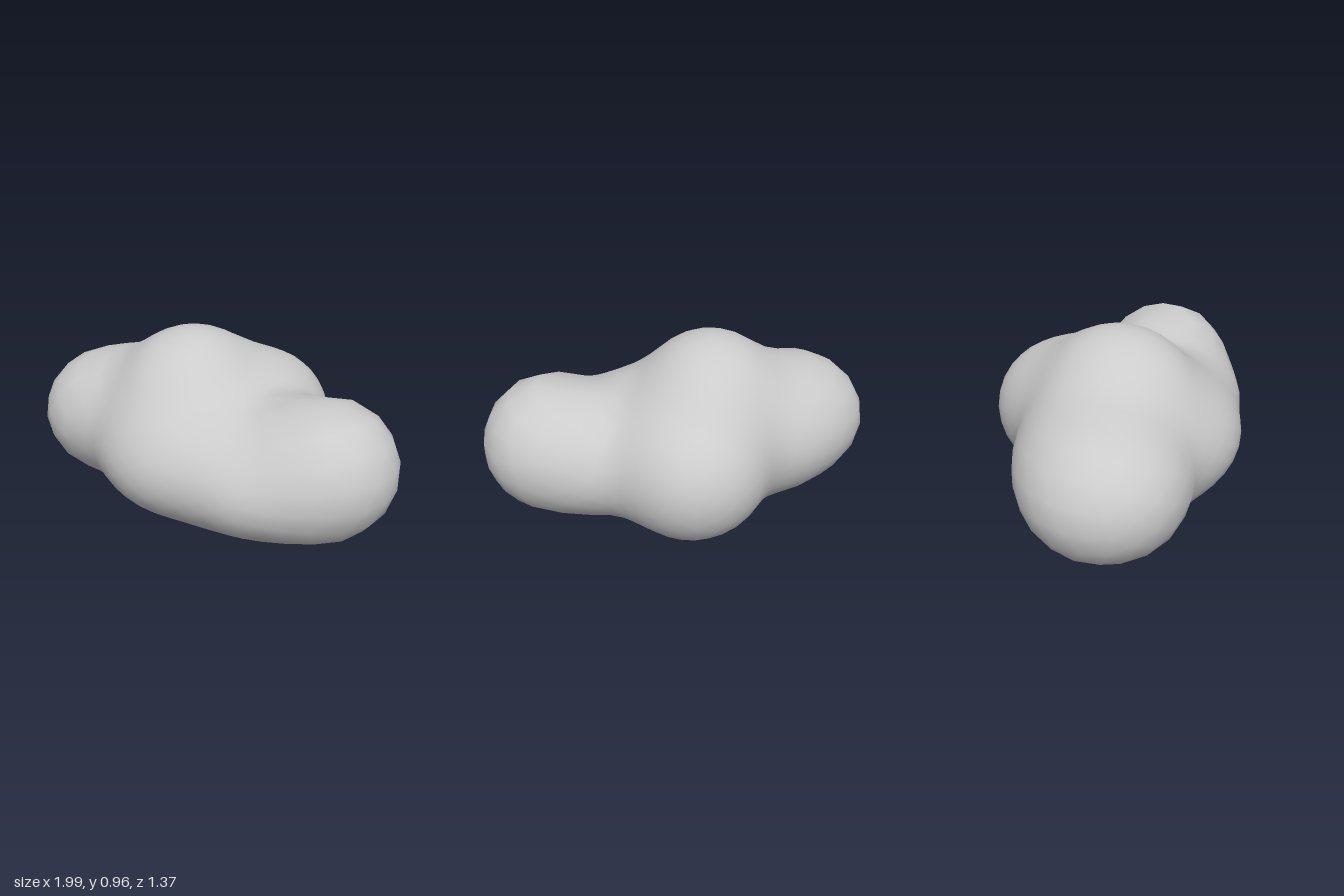
import * as THREE from 'three';
import { mergeVertices } from 'three/addons/utils/BufferGeometryUtils.js';

// Rounded lobes that melt together: [centre, radii]
const LOBES = [
  [[-0.60, 0.415, 0.285], [0.40, 0.35, 0.40]],  // right-hand puff
  [[-0.40, 0.41, 0.10], [0.40, 0.345, 0.39]],   // waist of the right-hand puff
  [[0.65, 0.45, -0.13], [0.35, 0.35, 0.37]],    // left-hand puff
  [[0.38, 0.38, -0.16], [0.32, 0.28, 0.335]],   // neck of the left-hand puff
  [[-0.155, 0.52, 0.07], [0.41, 0.45, 0.44]],   // crown
  [[0.09, 0.42, 0.00], [0.36, 0.31, 0.48]],     // shoulder beside the crown
  [[-0.07, 0.425, -0.28], [0.39, 0.37, 0.41]],  // back puff
  [[-0.04, 0.38, 0.15], [0.53, 0.34, 0.49]],    // front belly
  [[0.38, 0.37, 0.07], [0.42, 0.28, 0.375]],    // front slope
].map(([c, r]) => ({ c: new THREE.Vector3(...c), r: new THREE.Vector3(...r) }));

const BLEND = 0.15;
const q = new THREE.Vector3();

// Approximate distance to one ellipsoid
function lobeDistance(p, { c, r }) {
  const k0 = q.subVectors(p, c).divide(r).length();
  const k1 = q.divide(r).length();
  return k1 < 1e-6 ? -1 : (k0 * (k0 - 1)) / k1;
}

// Smooth union of all lobes
function field(p) {
  let d = Infinity;
  for (const lobe of LOBES) {
    const e = lobeDistance(p, lobe);
    const h = Math.max(BLEND - Math.abs(d - e), 0) / BLEND;
    d = Math.min(d, e) - (h * h * BLEND) / 4;
  }
  return d;
}

// Outermost surface point along a ray from the core
function project(core, dir, out) {
  const at = (t) => field(out.copy(core).addScaledVector(dir, t));
  let lo = 1.4;
  while (lo > 0.05 && at(lo) > 0) lo -= 0.02;
  let hi = lo + 0.02;
  for (let i = 0; i < 12; i++) {
    const mid = (lo + hi) / 2;
    if (at(mid) > 0) hi = mid; else lo = mid;
  }
  out.copy(core).addScaledVector(dir, lo);
}

export function createModel() {
  // Welded sphere whose vertices are pushed onto the blended surface
  let geometry = new THREE.IcosahedronGeometry(1, 8);
  geometry.deleteAttribute('uv');
  geometry.deleteAttribute('normal');
  geometry = mergeVertices(geometry, 1e-4);
  const pos = geometry.attributes.position;
  const core = new THREE.Vector3(-0.03, 0.4, 0);
  const dir = new THREE.Vector3(), p = new THREE.Vector3();
  for (let i = 0; i < pos.count; i++) {
    project(core, dir.fromBufferAttribute(pos, i).normalize(), p);
    pos.setXYZ(i, p.x, p.y, p.z);
  }

  // Rest the underside on the ground
  geometry.computeBoundingBox();
  geometry.translate(0, -geometry.boundingBox.min.y, 0);
  geometry.computeVertexNormals();

  const cloud = new THREE.Mesh(geometry, new THREE.MeshStandardMaterial({ color: 0xcccccc }));
  cloud.name = 'cloudBody';
  const group = new THREE.Group();
  group.name = 'cloud';
  group.add(cloud);
  return group;
}
